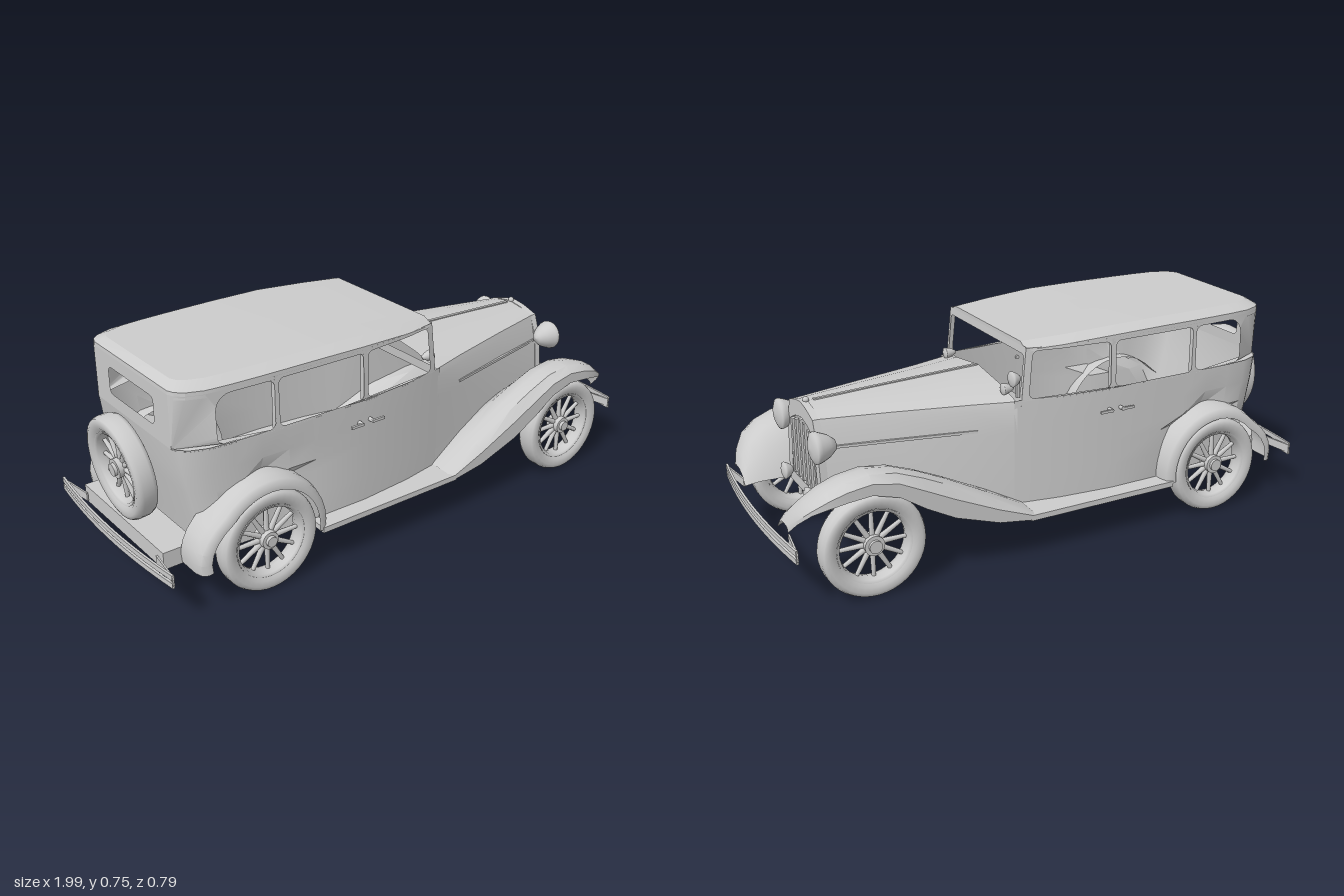
import * as THREE from 'three';
import { toCreasedNormals } from 'three/addons/utils/BufferGeometryUtils.js';

const solid = new THREE.MeshStandardMaterial({ color: 0xcccccc });
const sheet = new THREE.MeshStandardMaterial({ color: 0xcccccc, side: THREE.DoubleSide });

export function createModel() {
  const car = new THREE.Group();
  const add = (name, geo, x = 0, y = 0, z = 0, mat = solid, parent = car) => {
    const m = new THREE.Mesh(geo, mat);
    m.name = name;
    m.position.set(x, y, z);
    parent.add(m);
    return m;
  };
  const box = (name, w, h, d, x, y, z) => add(name, new THREE.BoxGeometry(w, h, d), x, y, z);

  // Skin through rows of [x, y, z] points
  function loft(name, rows, angle = 0.5) {
    const n = rows[0].length, idx = [];
    for (let i = 0; i < rows.length - 1; i++)
      for (let j = 0; j < n - 1; j++) {
        const a = i * n + j, b = a + n;
        idx.push(a, b, a + 1, b, b + 1, a + 1);
      }
    const g = new THREE.BufferGeometry();
    g.setAttribute('position', new THREE.Float32BufferAttribute(rows.flat(2), 3));
    g.setIndex(idx);
    return add(name, toCreasedNormals(g, angle), 0, 0, 0, sheet);
  }
  // Flat shape with holes, bent into place by a rule
  function panel(name, shape, rule) {
    const g = new THREE.ShapeGeometry(shape, 6), p = g.attributes.position;
    for (let i = 0; i < p.count; i++) p.setXYZ(i, ...rule(p.getX(i), p.getY(i)));
    return add(name, toCreasedNormals(g, 0.5), 0, 0, 0, sheet);
  }
  // Rounded opening; the upper rear corner may have its own radius
  function opening(x0, y0, x1, y1, r, rr = r) {
    const p = new THREE.Path(), q = Math.PI / 2;
    p.absarc(x1 - r, y1 - r, r, 0, q);
    p.absarc(x0 + rr, y1 - rr, rr, q, 2 * q);
    p.absarc(x0 + r, y0 + r, r, 2 * q, 3 * q);
    p.absarc(x1 - r, y0 + r, r, 3 * q, 4 * q);
    p.closePath();
    return p;
  }
  const V2 = (list) => list.map(([x, y]) => new THREE.Vector2(x, y));
  const mirrored = (half) => new THREE.Shape(V2([...half, ...half.slice().reverse().map(([z, y]) => [-z, y])]));

  // Plan of the cabin: half width along its length
  const plan = [[-0.87, 0.24], [-0.86, 0.265], [-0.835, 0.288], [-0.78, 0.31], [-0.7, 0.318], [-0.6, 0.323],
    [-0.5, 0.326], [-0.4, 0.328], [-0.2, 0.33], [0, 0.312], [0.14, 0.287]];
  const width = (x) => {
    let i = 1;
    while (i < plan.length - 1 && plan[i][0] < x) i++;
    const [a, wa] = plan[i - 1], [b, wb] = plan[i];
    return THREE.MathUtils.lerp(wa, wb, THREE.MathUtils.clamp((x - a) / (b - a), 0, 1));
  };
  const taper = (y) => 1 - Math.max(0, y - 0.53) * 0.08;
  const lean = (x, y) => x + Math.max(0, 0.5 - y) * 0.2 * THREE.MathUtils.clamp((-0.5 - x) / 0.37, 0, 1);
  const ring = (p) => [...p.slice().reverse(), ...p.map(([x, w]) => [x, -w])];
  const outline = ring(plan);

  // Lower cabin, open underneath and drawn in beside the rear wheels
  const pinch = (x, y) => (Math.hypot(x + 0.615, y - 0.18) < 0.21 ? 0.9 : 1);
  loft('lowerCabin', [0.145, 0.25, 0.34, 0.38, 0.45, 0.535].map((y) =>
    ring([...plan, [0.165, 0.282]]).map(([x, w]) => [lean(x, y), y, w * pinch(x, y) * taper(y)])));

  // Roof with chamfered rim, falling a little to the front
  const roof = [[0.7, 1, 1], [0.724, 0.997, 0.997], [0.744, 0.94, 0.86], [0.748, 0, 0]].map(([y, kx, kz]) =>
    [...outline, outline[0]].map(([x, w]) => {
      const px = x > 0.1 && kx ? 0.11 + 0.012 * kx : -0.36 + (x + 0.36) * kx;
      return [px, y - Math.max(0, px + 0.25) * (y > 0.71 ? 0.05 : 0), w * kz * taper(0.7)];
    }));
  loft('roof', roof, 0.35);

  // Window bands, pillars, rear panel and windscreen frame
  for (const s of [1, -1]) {
    const band = new THREE.Shape(V2([...plan.map(([x]) => [x, 0.53]), ...plan.slice().reverse().map(([x]) => [x, 0.712])]));
    band.holes.push(opening(-0.75, 0.537, -0.545, 0.7, 0.025, 0.055), opening(-0.53, 0.537, -0.205, 0.7, 0.02),
      opening(-0.185, 0.537, 0.115, 0.7, 0.02));
    panel('windowBand', band, (x, y) => [x > 0.1 ? x - (y - 0.53) * 0.1 : x, y, s * width(x) * taper(y)]);
    for (const x of [-0.538, -0.195]) box('doorPillar', 0.014, 0.18, 0.018, x, 0.62, s * (width(x) * 0.992 - 0.011));
  }
  const back = mirrored([[0.24, 0.53], [0.24, 0.712]]);
  back.holes.push(opening(-0.145, 0.575, 0.145, 0.67, 0.02));
  panel('rearPanel', back, (z, y) => [-0.87, y, z]);
  const frame = mirrored([[0.287, 0.51], [0.283, 0.715]]);
  frame.holes.push(opening(-0.272, 0.545, 0.272, 0.688, 0.015));
  panel('windscreenFrame', frame, (z, y) => [0.14 - (y - 0.53) * 0.1, y, z]);

  // Cowl and bonnet, open underneath: [x, top, drop, shoulder, middle, sill half widths, sill y]
  const bonnet = [[0.155, 0.58, 0.05, 0.278, 0.284, 0.284, 0.145], [0.3, 0.575, 0.045, 0.235, 0.252, 0.262, 0.19],
    [0.55, 0.566, 0.035, 0.172, 0.193, 0.205, 0.25], [0.785, 0.555, 0.025, 0.115, 0.145, 0.16, 0.25]];
  loft('bonnet', bonnet.map(([x, t, d, w, m, b, f]) => {
    const half = [[b, f], [m, 0.42], [w + 0.007, t - d - 0.025], [w, t - d], [w * 0.6, t - d * 0.45], [0, t]];
    return [...half, ...half.slice(0, -1).reverse().map(([z, y]) => [-z, y])].map(([z, y]) => [x, y, z]);
  }));
  add('bonnetRidge', new THREE.BoxGeometry(0.6, 0.008, 0.012), 0.46, 0.568, 0).rotation.z = -0.04;

  // Radiator shell, grille and its bars
  const shell = mirrored([[0.155, 0.225], [0.162, 0.28], [0.15, 0.4], [0.14, 0.46], [0.115, 0.53], [0.05, 0.55], [0.003, 0.557]]);
  shell.holes.push(mirrored([[0.125, 0.265], [0.118, 0.36], [0.113, 0.465], [0.06, 0.49], [0.003, 0.503]]));
  const shellMesh = add('radiatorShell', new THREE.ExtrudeGeometry(shell, { depth: 0.025, bevelEnabled: false }), 0.78, 0, 0);
  shellMesh.rotation.y = Math.PI / 2;
  box('grilleBacking', 0.008, 0.25, 0.24, 0.788, 0.378, 0);
  for (let i = -2.5; i <= 2.5; i++) {
    const top = 0.495 - Math.abs(i) * 0.012;
    box('grilleBar', 0.02, top - 0.27, 0.018, 0.797, (top + 0.27) / 2, i * 0.041);
  }
  add('radiatorCap', new THREE.SphereGeometry(0.011, 12, 8), 0.785, 0.56, 0);

  // Wheel with its axle along z
  function wheel(name, x, y, z) {
    const g = new THREE.Group();
    g.name = name;
    g.position.set(x, y, z);
    const tyre = [[0.128, -0.026], [0.14, -0.034], [0.158, -0.037], [0.171, -0.032], [0.177, -0.018], [0.177, 0.018],
      [0.171, 0.032], [0.158, 0.037], [0.14, 0.034], [0.128, 0.026]];
    add('tyre', new THREE.LatheGeometry(V2(tyre), 40), 0, 0, 0, sheet, g).rotation.x = Math.PI / 2;
    const rim = [[0.128, -0.028], [0.118, -0.024], [0.113, 0], [0.118, 0.024], [0.128, 0.028]];
    add('rim', new THREE.LatheGeometry(V2(rim), 40), 0, 0, 0, sheet, g).rotation.x = Math.PI / 2;
    add('hub', new THREE.CylinderGeometry(0.03, 0.034, 0.05, 20), 0, 0, 0, solid, g).rotation.x = Math.PI / 2;
    add('hubCap', new THREE.CylinderGeometry(0.018, 0.022, 0.072, 16), 0, 0, 0, solid, g).rotation.x = Math.PI / 2;
    for (let i = 0; i < 12; i++) {
      const a = (i / 12) * Math.PI * 2;
      add('spoke', new THREE.CylinderGeometry(0.007, 0.01, 0.096, 8), -Math.sin(a) * 0.072, Math.cos(a) * 0.072, 0, solid, g).rotation.z = a;
    }
    car.add(g);
    return g;
  }
  const spare = wheel('spareWheel', -0.923, 0.388, 0);
  spare.rotation.set(0, Math.PI / 2, 0.09, 'ZYX');

  // Lamp: rounded bowl with a domed lens facing forward
  function lamp(name, r, len, x, y, z) {
    const prof = V2([[0, -len], [r * 0.35, -len * 0.93], [r * 0.7, -len * 0.6], [r * 0.95, -len * 0.15], [r, 0], [r * 0.96, r * 0.12],
      [r * 0.6, r * 0.28], [0, r * 0.35]]);
    add(name, new THREE.LatheGeometry(prof, 24), x, y, z, sheet).rotation.z = -Math.PI / 2;
  }

  // Front fender with its apron: [x, inner y, crest y, edge y, inner z, outer z]
  const fender = [[0.14, 0.143, 0.165, 0.143, 0.135, 0.395], [0.28, 0.157, 0.243, 0.165, 0.145, 0.395], [0.44, 0.18, 0.33, 0.22, 0.155, 0.395],
    [0.54, 0.2, 0.378, 0.275, 0.16, 0.395], [0.63, 0.215, 0.413, 0.335, 0.16, 0.395], [0.72, 0.225, 0.425, 0.362, 0.16, 0.395],
    [0.8, 0.23, 0.412, 0.355, 0.16, 0.394], [0.86, 0.23, 0.388, 0.345, 0.162, 0.39], [0.91, 0.23, 0.35, 0.325, 0.165, 0.368],
    [0.945, 0.225, 0.308, 0.285, 0.17, 0.325], [0.963, 0.22, 0.265, 0.245, 0.175, 0.285]];

  for (const s of [1, -1]) {
    wheel('frontWheel', 0.715, 0.18, s * 0.353);
    wheel('rearWheel', -0.615, 0.18, s * 0.353);
    loft('frontFender', fender.map(([x, yi, yc, ye, zi, zo]) => {
      const w = zo - zi, h = yc - yi;
      return [[zi, yi], [zi + w * 0.2, yi + h * 0.6], [zi + w * 0.48, yi + h * 0.94], [zi + w * 0.68, yc],
        [zi + w * 0.88, yc - (yc - ye) * 0.06], [zo, yc - (yc - ye) * 0.4], [zo, ye]].map(([z, y]) => [x, y, s * z]);
    }), 0.6);

    // Rear fender swept round the wheel, with a flared tail
    const arch = [];
    for (let i = 0; i <= 20; i++) {
      const a = -0.14 + (i / 20) * (Math.PI + 0.28), c = Math.cos(a), k = c < -0.75 ? (-c - 0.75) * 0.16 : 0;
      arch.push([[0.183, 0.392], [0.2, 0.392], [0.216, 0.38], [0.224, 0.35], [0.224, 0.27]].map(([r, z]) =>
        [-0.615 + c * r - k, 0.18 + Math.sin(a) * r, s * z]));
    }
    loft('rearFender', arch, 0.7);
    box('runningBoard', 0.58, 0.02, 0.125, -0.13, 0.152, s * 0.3325);

    // Lamps, door handles and bonnet moulding
    lamp('headlamp', 0.054, 0.07, 0.822, 0.46, s * 0.175);
    add('headlampArm', new THREE.CylinderGeometry(0.008, 0.008, 0.06, 8), 0.785, 0.45, s * 0.155).rotation.x = Math.PI / 2;
    lamp('fogLamp', 0.03, 0.03, 0.838, 0.275, s * 0.117);
    lamp('cowlLamp', 0.02, 0.04, 0.175, 0.56, s * 0.222);
    for (const [x, d] of [[-0.225, -1], [-0.18, 1]]) {
      add('handleStem', new THREE.CylinderGeometry(0.006, 0.008, 0.03, 8), x, 0.46, s * 0.335).rotation.x = Math.PI / 2;
      box('doorHandle', 0.05, 0.009, 0.008, x + d * 0.02, 0.46, s * 0.348);
    }
    box('bonnetMoulding', 0.5, 0.009, 0.012, 0.53, 0.44, s * 0.196).rotation.y = s * 0.22;
  }

  // Side mirror
  lamp('mirror', 0.027, 0.03, 0.17, 0.61, -0.275);
  box('mirrorArm', 0.012, 0.07, 0.01, 0.15, 0.58, -0.278);

  // Rear tray
  box('rearTray', 0.12, 0.06, 0.54, -0.88, 0.175, 0);

  // Bowed double-bar bumpers, front and rear, with arms folded back from their ends
  for (const [d, y0] of [[1, 0.204], [-1, 0.172]]) {
    const end = d > 0 ? 'front' : 'rear';
    for (const y of [y0 - 0.014, y0 + 0.014]) {
      const rows = [];
      for (let i = 0; i <= 16; i++) {
        const t = i / 8 - 1, x = d * (0.997 - 0.025 * t * t);
        rows.push([[0, -0.009], [0, 0.009], [-0.008, 0.009], [-0.008, -0.009], [0, -0.009]].map(([dx, dy]) => [x + d * dx, y + dy, t * 0.38]));
      }
      loft(end + 'Bumper', rows);
    }
    for (const s of [1, -1])
      box(end + 'BumperArm', 0.006, 0.03, 0.14, d * 0.957, y0, s * 0.31).rotation.y = d * s * 0.14;
  }
  return car;
}
